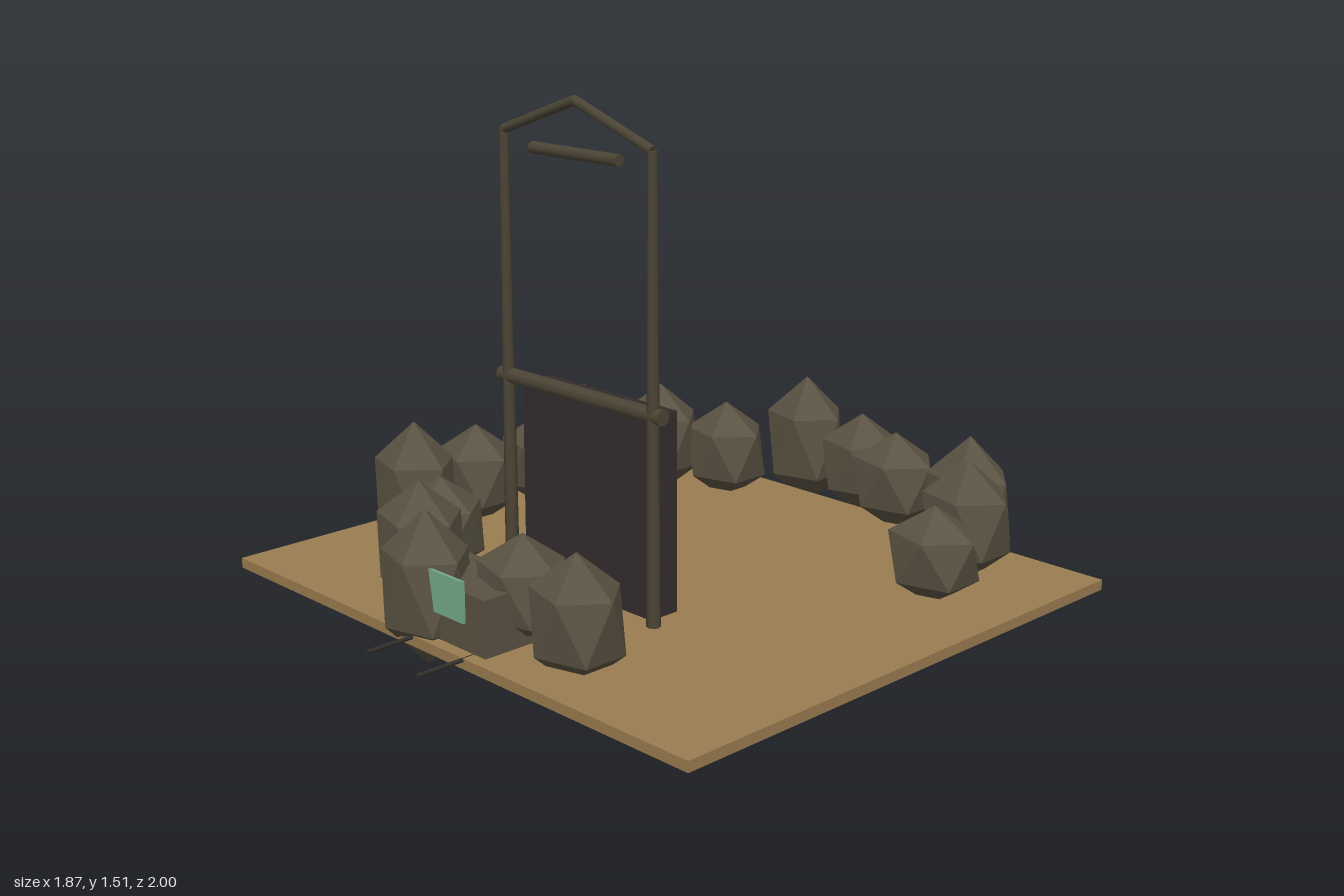
import * as THREE from 'three';
import { ConvexGeometry } from 'three/addons/geometries/ConvexGeometry.js';

const material = (name, color) => {
  const m = new THREE.MeshStandardMaterial({ color });
  m.name = name;
  return m;
};

// Faceted boulder of unit radius: two poles and two staggered rings of five
function boulderGeometry() {
  const points = [new THREE.Vector3(0, 1, 0), new THREE.Vector3(0, -1, 0)];
  const h = 1 / Math.sqrt(5), r = 2 * h;
  for (let i = 0; i < 5; i++) {
    const a = (i * Math.PI * 2) / 5, b = a + Math.PI / 5;
    points.push(new THREE.Vector3(Math.cos(a) * r, h, Math.sin(a) * r));
    points.push(new THREE.Vector3(Math.cos(b) * r, -h, Math.sin(b) * r));
  }
  return new ConvexGeometry(points);
}

export function createModel() {
  const group = new THREE.Group();
  const sand = material('sand', 0x9a7c50);
  const stone = material('stone', 0x5a5242);
  const timber = material('timber', 0x4c4536);
  const dark = material('dark panel', 0x352c2e);
  const green = material('green plate', 0x74ab88);
  const iron = material('iron', 0x34302a);

  const add = (name, geometry, mat) => {
    const mesh = new THREE.Mesh(geometry, mat);
    mesh.name = name;
    group.add(mesh);
    return mesh;
  };
  const box = (name, mat, x0, x1, y0, y1, z0, z1) =>
    add(name, new THREE.BoxGeometry(x1 - x0, y1 - y0, z1 - z0), mat)
      .position.set((x0 + x1) / 2, (y0 + y1) / 2, (z0 + z1) / 2);
  // Round pole between two points, r0 at the start and r1 at the end
  const pole = (name, mat, from, to, r0, r1 = r0) => {
    const a = new THREE.Vector3(...from), b = new THREE.Vector3(...to);
    const dir = b.clone().sub(a);
    const geometry = new THREE.CylinderGeometry(r1, r0, dir.length(), 8);
    const mesh = add(name, geometry, mat);
    mesh.position.copy(a).add(b).multiplyScalar(0.5);
    mesh.quaternion.setFromUnitVectors(new THREE.Vector3(0, 1, 0), dir.normalize());
  };

  // Ground slab
  box('groundSlab', sand, -0.93, 0.937, 0.095, 0.125, -0.804, 0.857);

  // Ring of boulders: x, z, top, bottom
  const boulders = [
    [-0.275, -0.89, 0.48, 0.04], [-0.02, -0.87, 0.41, 0.08], [0.19, -0.78, 0.41, 0.1],
    [0.455, -0.805, 0.45, 0.01], [0.6, -0.605, 0.45, 0.08], [0.66, -0.38, 0.38, 0.09],
    [-0.42, -0.66, 0.41, 0.08], [-0.625, -0.56, 0.45, 0.08], [-0.8, -0.38, 0.45, 0.02],
    [-0.72, -0.125, 0.415, 0.11], [-0.77, 0.1, 0.415, 0.09], [-0.745, 0.355, 0.48, 0.04],
    [-0.495, 0.45, 0.385, 0.09], [-0.35, 0.635, 0.45, 0.08], [-0.14, 0.775, 0.45, 0.01],
    [0.1, 0.64, 0.41, 0.1], [0.33, 0.655, 0.42, 0.05],
  ];
  const rock = boulderGeometry();
  boulders.forEach(([x, z, top, bottom], i) => {
    const mesh = add('boulder' + (i + 1), rock, stone);
    mesh.position.set(x, (top + bottom) / 2, z);
    mesh.scale.set(0.152, (top - bottom) / 2, 0.13);
  });

  // Gate frame: posts, rafters, hanging bar and cross beam
  const z = 0.355;
  for (const [side, x] of [['right', -0.29], ['left', 0.298]]) {
    pole(side + 'Post', timber, [x, 0.12, z], [x, 1.405, z], 0.02, 0.014);
    pole(side + 'Rafter', timber, [x, 1.405, z], [0.003, 1.508, z], 0.014);
  }
  pole('hangingBar', timber, [-0.17, 1.367, z], [0.175, 1.367, z], 0.017);
  pole('crossBeam', timber, [-0.325, 0.71, 0.35], [0.33, 0.71, 0.35], 0.023);

  // Dark door panel behind the frame
  box('doorPanel', dark, -0.255, 0.265, 0.12, 0.695, 0.235, 0.333);

  // Pedestal with its plate
  box('pedestal', stone, -0.15, 0.16, 0.12, 0.285, 0.62, 0.82);
  box('pedestalPlate', green, -0.08, 0.088, 0.205, 0.32, 0.825, 0.834);

  // Pair of rails running out to the front
  for (const x of [-0.103, 0.111]) pole('rail', iron, [x, 0.12, 0.3], [x, 0.12, 1], 0.006);

  return group;
}
